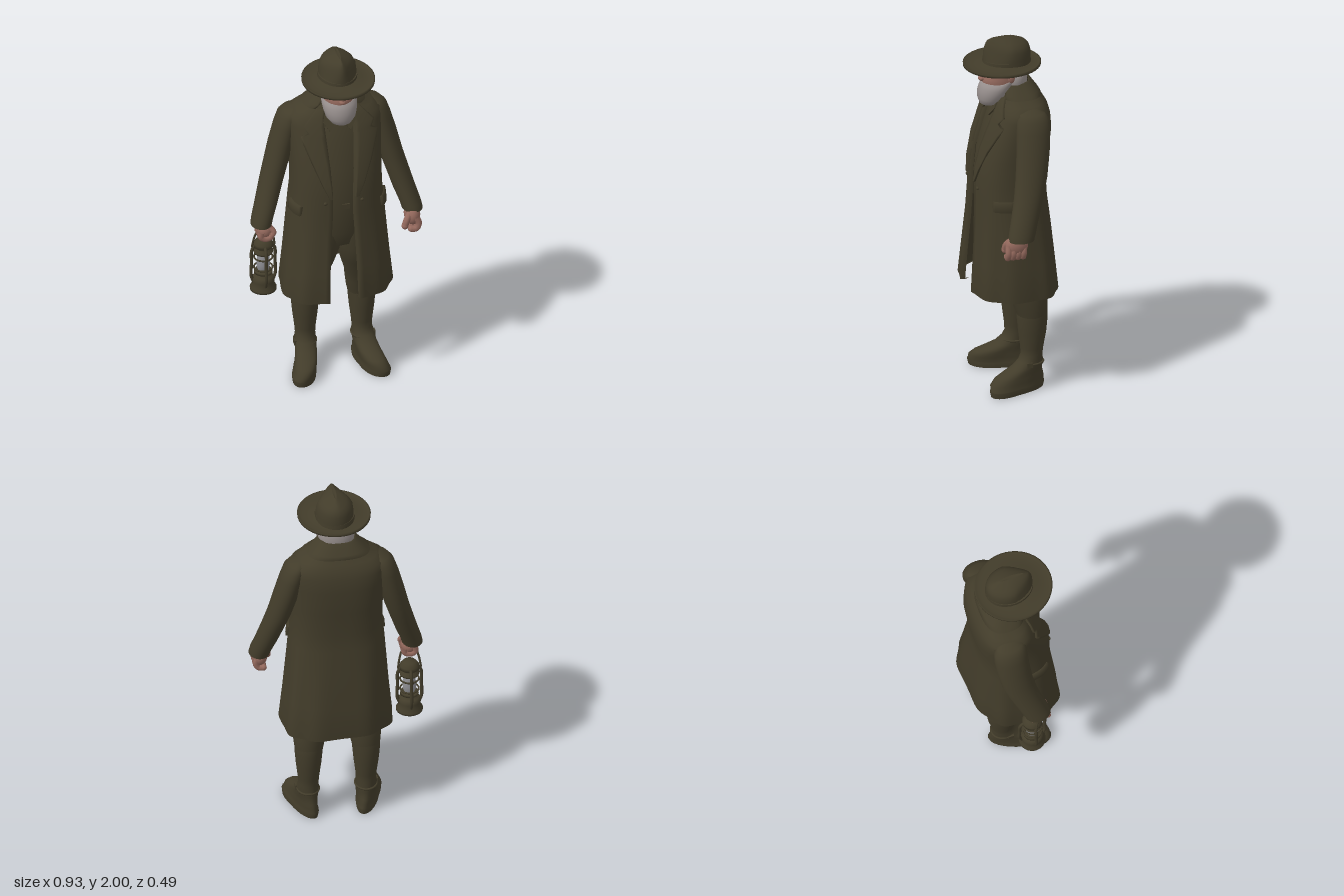
import * as THREE from 'three';

const flat = (color, side = THREE.FrontSide) => new THREE.MeshStandardMaterial({ color, side });

export function createModel() {
  const model = new THREE.Group();
  const cloth = flat(0x423c2a, THREE.DoubleSide); cloth.name = 'olive cloth';
  const skin = flat(0x94695d); skin.name = 'skin';
  const beard = flat(0x968e8c); beard.name = 'grey beard';
  const glass = flat(0x8e8e92); glass.name = 'lamp glass';
  const dark = flat(0x5a4038); dark.name = 'dark eye';

  const add = (name, geo, mat, x = 0, y = 0, z = 0, parent = model) => {
    const m = new THREE.Mesh(geo, mat);
    m.name = name;
    m.position.set(x, y, z);
    parent.add(m);
    return m;
  };

  // Surface through rows of points; optional closed loop and end caps
  const skinRows = (rows, wrap = false, caps = false) => {
    const pos = [], idx = [], n = rows[0].length;
    rows.forEach(r => r.forEach(p => pos.push(...p)));
    for (let i = 0; i < rows.length - 1; i++)
      for (let j = 0; j < (wrap ? n : n - 1); j++) {
        const a = i * n + j, b = i * n + (j + 1) % n;
        idx.push(a, b, b + n, a, b + n, a + n);
      }
    if (caps) [[rows[0], true], [rows[rows.length - 1], false]].forEach(([r, low]) => {
      const base = pos.length / 3, mid = [0, 1, 2].map(k => r.reduce((s, p) => s + p[k], 0) / n);
      pos.push(...mid);
      r.forEach(p => pos.push(...p));
      for (let j = 0; j < n; j++) {
        const a = base + 1 + j, b = base + 1 + (j + 1) % n;
        idx.push(base, low ? b : a, low ? a : b);
      }
    });
    const g = new THREE.BufferGeometry();
    g.setAttribute('position', new THREE.Float32BufferAttribute(pos, 3));
    g.setIndex(idx);
    g.computeVertexNormals();
    return g;
  };

  // Stacked ellipses, bottom to top: [y, cx, cz, rx, rz]
  const loft = (rows, s = 1, warp = p => p, n = 28) => skinRows(rows.map(([y, cx, cz, rx, rz]) =>
    Array.from({ length: n }, (_, j) => {
      const t = j / n * Math.PI * 2;
      return warp([s * cx + rx * Math.sin(t), y, cz + rz * Math.cos(t)], t);
    })), true, true);

  const ball = (name, mat, x, y, z, rx, ry, rz) => {
    const m = add(name, new THREE.SphereGeometry(1, 20, 14), mat, x, y, z);
    m.scale.set(rx, ry, rz);
    return m;
  };
  const tube = (name, pts, r, mat, parent) => add(name, new THREE.TubeGeometry(
    new THREE.CatmullRomCurve3(pts.map(p => new THREE.Vector3(...p))), 16, r, 8), mat, 0, 0, 0, parent);

  // Coat profile: [y, half width, front z, back z, half opening]
  const coatRows = [
    [0.562, 0.302, 0.235, -0.24, 0.085], [0.75, 0.283, 0.222, -0.226, 0.08], [0.95, 0.266, 0.207, -0.21, 0.07],
    [1.1, 0.253, 0.2, -0.195, 0.06], [1.2, 0.243, 0.2, -0.19, 0.06], [1.35, 0.243, 0.185, -0.205, 0.07],
    [1.5, 0.25, 0.135, -0.218, 0.08], [1.58, 0.254, 0.105, -0.21, 0.085], [1.625, 0.248, 0.085, -0.197, 0.08],
    [1.655, 0.205, 0.068, -0.178, 0.075], [1.695, 0.135, 0.05, -0.15, 0.06], [1.745, 0.095, 0.03, -0.115, 0.06]];
  const square = 0.75;
  const coatAt = y => {
    let i = 0;
    while (i < coatRows.length - 2 && y > coatRows[i + 1][0]) i++;
    const a = coatRows[i], b = coatRows[i + 1], k = (y - a[0]) / (b[0] - a[0]);
    return a.map((v, j) => v + (b[j] - v) * k);
  };
  const pw = v => Math.sign(v) * Math.abs(v) ** square;
  const coatPoint = (t, y, off = 0) => {
    const [, rx, zf, zb] = coatAt(y);
    const skirt = Math.min(1, Math.max(0, (1.1 - y) / 0.5));
    const fold = 1 + 0.022 * skirt * Math.cos(9 * t);
    const x = (rx * fold + off) * pw(Math.sin(t));
    return [x, y, (zf + zb) / 2 + ((zf - zb) / 2 * fold + off) * pw(Math.cos(t)) - 0.06 * skirt * x];
  };
  const angleAt = (x, y) => Math.asin(Math.min(1, x / coatAt(y)[1]) ** (1 / square));

  // Open coat shell with turned-in front edges and hem
  const coatRing = (y, off) => {
    const t0 = angleAt(coatAt(y)[4], y), row = [];
    for (let j = 0; j <= 72; j++) row.push(coatPoint(t0 + (Math.PI * 2 - 2 * t0) * j / 72, y, off));
    return [coatPoint(t0, y, off - 0.025), ...row, coatPoint(-t0, y, off - 0.025)];
  };
  add('coat', skinRows([coatRing(0.57, -0.02), ...coatRows.map(r => coatRing(r[0], 0))]), cloth);

  // Raised cloth piece lying on the coat: rows of [y, angle0, angle1]
  const patch = (name, rows, off, n = 8) => {
    const line = (r, o) => {
      const pts = [coatPoint(r[1], r[0], -0.004)];
      for (let j = 0; j <= n; j++) pts.push(coatPoint(r[1] + (r[2] - r[1]) * j / n, r[0], o));
      return [...pts, coatPoint(r[2], r[0], -0.004)];
    };
    add(name, skinRows([line(rows[0], -0.004), ...rows.map(r => line(r, off)), line(rows[rows.length - 1], -0.004)]), cloth);
  };
  patch('coatCollar', [[1.68, 0.7, Math.PI * 2 - 0.7], [1.697, 0.65, Math.PI * 2 - 0.65],
    [1.75, 0.6, Math.PI * 2 - 0.6]], 0.008, 48);

  // Legs (trousers) and boots
  const trouser = [[0.4, 0.163, -0.09, 0.07, 0.075], [0.45, 0.16, -0.088, 0.08, 0.085], [0.52, 0.158, -0.072, 0.089, 0.1],
    [0.58, 0.152, -0.06, 0.09, 0.108], [0.7, 0.125, -0.02, 0.1, 0.13], [0.82, 0.1, 0.01, 0.1, 0.15], [1.0, 0.08, 0.01, 0.1, 0.155]];
  const boot = [[0, 0.165, 0.0, 0.06, 0.155], [0.03, 0.165, 0.0, 0.063, 0.162], [0.032, 0.165, 0, 0.057, 0.157],
    [0.06, 0.165, 0, 0.059, 0.157], [0.085, 0.165, -0.01, 0.058, 0.142], [0.105, 0.165, -0.03, 0.058, 0.117],
    [0.13, 0.165, -0.058, 0.058, 0.088], [0.165, 0.165, -0.08, 0.058, 0.068], [0.2, 0.163, -0.086, 0.054, 0.059],
    [0.24, 0.163, -0.088, 0.057, 0.062], [0.33, 0.163, -0.09, 0.068, 0.076], [0.41, 0.163, -0.09, 0.075, 0.083], [0.45, 0.16, -0.09, 0.077, 0.083]];
  // Sleeves
  const arm = [[0.985, 0.41, 0.04, 0.056, 0.07], [1.02, 0.402, 0.032, 0.057, 0.073], [1.1, 0.375, 0.008, 0.06, 0.075],
    [1.2, 0.345, -0.02, 0.062, 0.08], [1.3, 0.315, -0.043, 0.064, 0.086], [1.43, 0.281, -0.062, 0.067, 0.09],
    [1.54, 0.253, -0.072, 0.065, 0.092], [1.6, 0.237, -0.074, 0.06, 0.088], [1.632, 0.222, -0.072, 0.045, 0.07], [1.648, 0.2, -0.072, 0.014, 0.03]];

  for (const s of [1, -1]) {
    const side = s > 0 ? 'left' : 'right';
    // The right leg stands a little closer to the middle
    const leg = new THREE.Group();
    leg.name = side + 'Leg';
    leg.position.x = s > 0 ? 0.002 : 0.018;
    model.add(leg);
    add(side + 'Trouser', loft(trouser, s), cloth, 0, 0, 0, leg);
    add(side + 'Boot', loft(boot, s, ([x, y, z], t) => {
      const low = Math.min(1, Math.max(0, 0.2 - y) * 6);
      return [x + s * low * (z + 0.08) * 0.27 + low * 0.025 * Math.sin(t) * Math.max(0, Math.cos(t)), y, z];
    }), cloth, 0, 0, 0, leg);
    const strap = add(side + 'BootStrap', new THREE.TorusGeometry(0.058, 0.006, 8, 24), cloth, s * 0.164, 0.155, -0.08, leg);
    strap.rotation.x = Math.PI / 2;
    strap.scale.y = 1.18;
    add(side + 'BootBuckle', new THREE.BoxGeometry(0.012, 0.028, 0.03), cloth, s * 0.224, 0.155, -0.06, leg);

    const back = s < 0 ? 0.025 : 0;
    add(side + 'Sleeve', loft(arm.map(([y, x, z, a, b]) => [y, x, z - back * Math.min(1, (1.65 - y) / 0.4), a, b]), s), cloth);

    // Lapel, pocket flap and front button
    patch(side + 'Lapel', [[1.2, 0.06, 0.075], [1.28, 0.064, 0.11], [1.4, 0.072, 0.155], [1.5, 0.08, 0.19],
      [1.545, 0.083, 0.2], [1.565, 0.084, 0.165], [1.6, 0.084, 0.185], [1.64, 0.078, 0.15], [1.68, 0.07, 0.11]]
      .map(([y, a, b]) => [y, s * angleAt(a, y), s * angleAt(b, y)]), 0.012);
    patch(side + 'PocketFlap', [[1.08, s * 0.95, s * 1.5], [1.135, s * 0.92, s * 1.5]], 0.014);
    const b = coatPoint(s * angleAt(0.1, 1.17), 1.17, 0.001);
    ball(side + 'CoatButton', cloth, ...b, 0.01, 0.01, 0.007);

    // Shirt collar point
    const tip = new THREE.Shape([[0.01, 0.03], [0.075, 0.07], [0.09, 0.02], [0.055, -0.035]].map(([x, y]) => new THREE.Vector2(s * x, y)));
    const c = add(side + 'ShirtCollar', new THREE.ExtrudeGeometry(tip, { depth: 0.01, bevelEnabled: false }), cloth, 0, 1.6, 0.098);
    c.rotation.x = -0.45;

    // Ear and eye
    ball(side + 'Ear', skin, 0.005 + s * 0.09, 1.79, 0.005, 0.011, 0.03, 0.02);
    ball(side + 'Eye', dark, 0.005 + s * 0.036, 1.803, 0.118, 0.013, 0.004, 0.005);
  }

  // Shirt body and waist buckle
  add('shirt', loft([[0.86, 0, 0, 0.17, 0.14], [0.95, 0, 0, 0.2, 0.172], [1.1, 0, 0, 0.21, 0.178], [1.2, 0, 0, 0.21, 0.178],
    [1.35, 0, -0.01, 0.21, 0.172], [1.5, 0, -0.04, 0.21, 0.16], [1.58, 0, -0.05, 0.2, 0.142], [1.63, 0, -0.05, 0.16, 0.115],
    [1.67, 0, -0.04, 0.085, 0.07]]), cloth);
  add('waistBuckle', new THREE.BoxGeometry(0.04, 0.03, 0.012), cloth, 0.015, 1.13, 0.178);

  // Neck and head
  add('neck', loft([[1.58, 0, 0.0, 0.06, 0.09], [1.66, 0, -0.01, 0.065, 0.075], [1.74, 0, -0.01, 0.068, 0.075]]), skin);
  add('head', loft([[1.66, 0.005, 0.06, 0.05, 0.06], [1.7, 0.005, 0.04, 0.078, 0.095], [1.75, 0.005, 0.024, 0.088, 0.118],
    [1.775, 0.005, 0.022, 0.091, 0.118], [1.803, 0.005, 0.014, 0.091, 0.107], [1.825, 0.005, 0.016, 0.091, 0.115],
    [1.85, 0.005, 0.012, 0.092, 0.112], [1.88, 0.005, 0.012, 0.07, 0.09]]), skin);
  const nose = ball('nose', skin, 0.005, 1.786, 0.133, 0.016, 0.036, 0.024);
  nose.rotation.x = -0.35;
  ball('noseTip', skin, 0.005, 1.769, 0.145, 0.019, 0.015, 0.018);

  // Beard: full chin, rising toward the ears
  add('beard', loft([[1.615, 0.007, 0.105, 0.028, 0.032], [1.63, 0.007, 0.1, 0.058, 0.056], [1.66, 0.007, 0.09, 0.081, 0.076],
    [1.695, 0.007, 0.075, 0.091, 0.091], [1.72, 0.007, 0.06, 0.095, 0.099], [1.737, 0.007, 0.045, 0.095, 0.107], [1.75, 0.007, 0.022, 0.092, 0.118]],
    1, ([x, y, z]) => [x, y + Math.max(0, y - 1.7) * Math.min(1, Math.max(0, 0.06 - z) * 12) * 0.6, z]), beard);
  add('backHair', loft([[1.67, 0.005, -0.035, 0.07, 0.05], [1.7, 0.005, -0.032, 0.088, 0.066], [1.75, 0.005, -0.028, 0.098, 0.076],
    [1.785, 0.005, -0.032, 0.096, 0.068], [1.797, 0.005, -0.035, 0.085, 0.06]]), beard);

  // Hat: wide brim, band and pinched crown
  const hat = new THREE.Group();
  hat.name = 'hat';
  hat.position.set(0.008, 0, 0.032);
  model.add(hat);
  const brim = add('brim', new THREE.LatheGeometry([[0.07, 1.832], [0.13, 1.834], [0.18, 1.836], [0.195, 1.842], [0.196, 1.855],
    [0.188, 1.856], [0.175, 1.849], [0.13, 1.852], [0.1, 1.862], [0.07, 1.865]].map(p => new THREE.Vector2(...p)), 48), cloth, 0, 0, 0, hat);
  brim.scale.z = 1.07;
  add('hatBand', loft([[1.85, 0, -0.025, 0.107, 0.132], [1.878, 0, -0.025, 0.105, 0.13]]), cloth, 0, 0, 0, hat);
  add('crown', loft([[1.85, 0.002, -0.025, 0.104, 0.13], [1.89, 0.002, -0.025, 0.102, 0.13], [1.93, 0.002, -0.025, 0.097, 0.128],
    [1.955, 0.002, -0.025, 0.084, 0.122], [1.972, 0.002, -0.023, 0.064, 0.114], [1.988, 0.002, -0.018, 0.036, 0.1], [2.0, 0.002, -0.01, 0.01, 0.065]],
    1, ([x, y, z], t) => [x * (1 - 0.42 * Math.max(0, Math.cos(t)) * Math.min(1, (y - 1.85) / 0.08)),
      y - Math.max(0, -0.05 - z) * 0.18 * (y - 1.85) / 0.15, z]), cloth, 0, 0, 0, hat);

  // Relaxed left hand with curled fingers
  ball('leftPalm', skin, 0.404, 0.955, 0.064, 0.043, 0.06, 0.062);
  for (let i = 0; i < 4; i++) {
    const z = 0.112 - i * 0.028;
    tube('leftFinger', [[0.415, 0.96, z], [0.428, 0.92, z + 0.004], [0.416, 0.892, z + 0.004], [0.39, 0.888, z]], 0.018, skin);
    ball('leftFingertip', skin, 0.388, 0.889, z, 0.0175, 0.0175, 0.0175);
  }
  tube('leftThumb', [[0.39, 0.98, 0.085], [0.366, 0.95, 0.11], [0.353, 0.915, 0.115]], 0.018, skin);
  ball('leftThumbTip', skin, 0.353, 0.914, 0.115, 0.018, 0.02, 0.018);

  // Right fist around the lantern handle
  ball('rightPalm', skin, -0.396, 0.955, 0.028, 0.046, 0.05, 0.052);
  for (let i = 0; i < 4; i++) {
    const z = 0.068 - i * 0.026;
    tube('rightFinger', [[-0.42, 0.96, z], [-0.423, 0.93, z], [-0.4, 0.916, z], [-0.368, 0.925, z], [-0.362, 0.95, z]], 0.017, skin);
  }
  tube('rightThumb', [[-0.37, 0.98, 0.06], [-0.355, 0.955, 0.072], [-0.37, 0.93, 0.074]], 0.015, skin);

  // Lantern
  const lamp = new THREE.Group();
  lamp.name = 'lantern';
  lamp.position.set(-0.392, 0.556, -0.01);
  model.add(lamp);
  const turn = (name, pts, mat) => add(name, new THREE.LatheGeometry(pts.map(p => new THREE.Vector2(...p)), 28), mat, 0, 0, 0, lamp);
  turn('lampBase', [[0, 0], [0.071, 0], [0.072, 0.012], [0.062, 0.025], [0.058, 0.055], [0.06, 0.07], [0.05, 0.082], [0.034, 0.09],
    [0.034, 0.1], [0.05, 0.104], [0.048, 0.116], [0, 0.118]], cloth);
  turn('lampGlass', [[0.026, 0.115], [0.034, 0.135], [0.036, 0.16], [0.033, 0.195], [0.026, 0.23]], glass);
  turn('lampCap', [[0, 0.228], [0.05, 0.228], [0.054, 0.24], [0.036, 0.252], [0.036, 0.266], [0.054, 0.27], [0.052, 0.29], [0.034, 0.312], [0, 0.316]], cloth);
  for (let i = 0; i < 4; i++) {
    const a = i * Math.PI / 2, wide = i % 2 ? 1.1 : 1;
    const pts = [[0.05, 0.04], [0.066, 0.09], [0.064, 0.17], [0.062, 0.25], [0.036, 0.29]];
    tube('lampSideTube', pts.map(([r, y]) => [r * Math.cos(a), y, wide * r * Math.sin(a)]), 0.009, cloth, lamp);
  }
  for (const y of [0.135, 0.2]) add('lampGuardRing', new THREE.TorusGeometry(0.05, 0.005, 6, 28), cloth, 0, y, 0, lamp).rotation.x = Math.PI / 2;
  tube('lampHandle', [[-0.062, 0.27, 0], [-0.052, 0.33, 0.008], [-0.035, 0.375, 0.02], [0, 0.385, 0.025], [0.035, 0.375, 0.02], [0.052, 0.33, 0.008], [0.062, 0.27, 0]], 0.006, cloth, lamp);

  return model;
}
